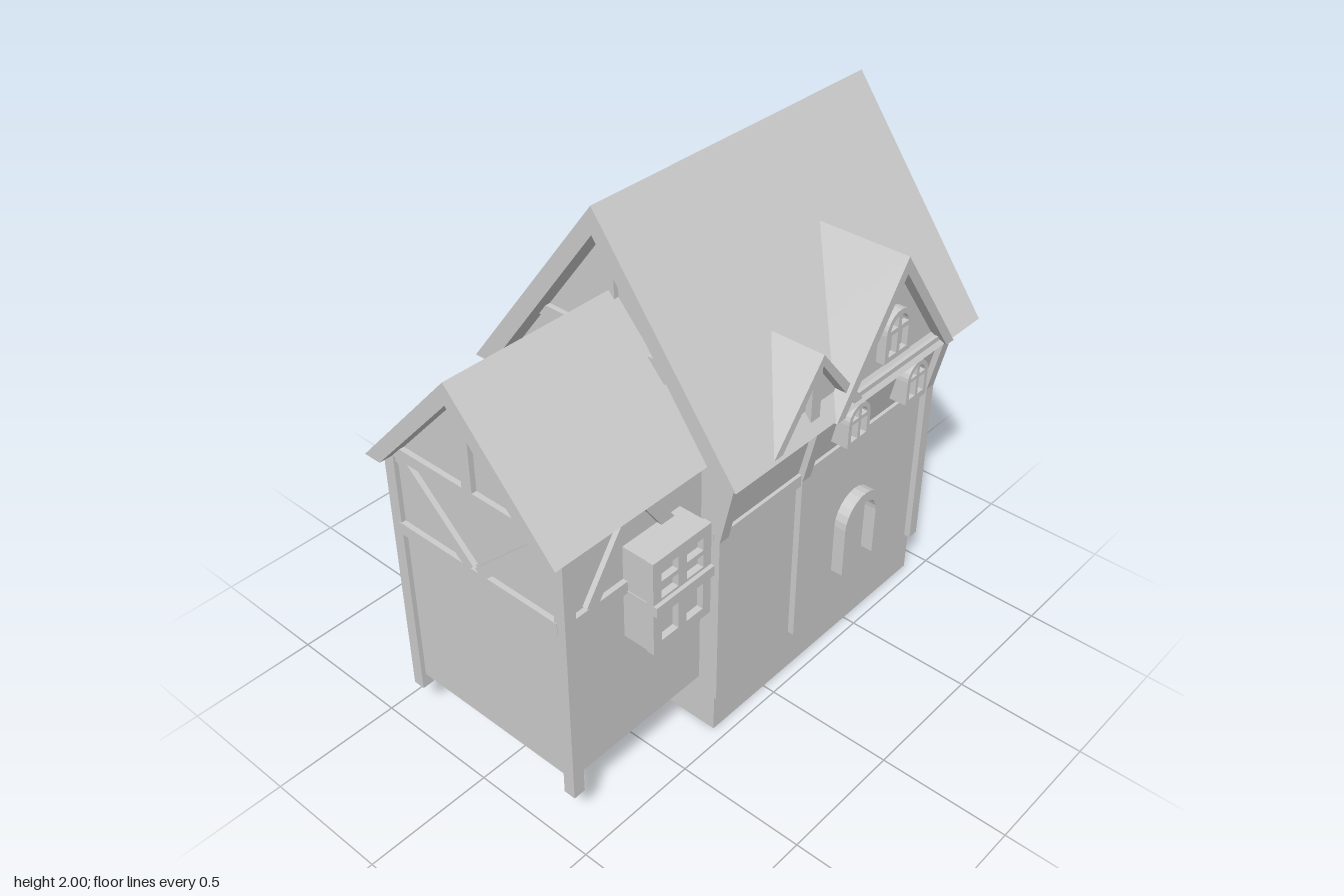
import * as THREE from 'three';

const mat = new THREE.MeshStandardMaterial({ color: 0xcccccc, flatShading: true });

function add(parent, name, geo) {
  const m = new THREE.Mesh(geo, mat);
  m.name = name;
  parent.add(m);
  return m;
}
const poly = pts => new THREE.Shape(pts.map(p => new THREE.Vector2(p[0], p[1])));
const extrude = (shape, depth) =>
  new THREE.ExtrudeGeometry(shape, { depth, bevelEnabled: false, curveSegments: 6 });

// Box from its limits
function box(parent, name, x0, x1, y0, y1, z0, z1) {
  const g = new THREE.BoxGeometry(x1 - x0, y1 - y0, z1 - z0);
  return add(parent, name, g.translate((x0 + x1) / 2, (y0 + y1) / 2, (z0 + z1) / 2));
}
// Profile of [z, y] points swept along x
function sweepX(parent, name, pts, x0, x1) {
  const g = extrude(poly(pts.map(([z, y]) => [-z, y])), x1 - x0);
  return add(parent, name, g.rotateY(Math.PI / 2).translate(x0, 0, 0));
}
// Profile of [x, y] points swept along z
function sweepZ(parent, name, pts, z0, z1) {
  return add(parent, name, extrude(poly(pts), z1 - z0).translate(0, 0, z0));
}
// Timber lying on a wall's local xy plane, between two points
function timber(parent, name, x0, y0, x1, y1, w, d = 0.02) {
  const g = new THREE.BoxGeometry(Math.hypot(x1 - x0, y1 - y0), w, d);
  g.rotateZ(Math.atan2(y1 - y0, x1 - x0));
  return add(parent, name, g.translate((x0 + x1) / 2, (y0 + y1) / 2, d / 2));
}
// Empty group standing on a wall
function wallFace(parent, name, x, z, rotY) {
  const g = new THREE.Group();
  g.name = name;
  g.position.set(x, 0, z);
  g.rotation.y = rotY;
  parent.add(g);
  return g;
}
// Chevron section of a pitched roof: outer and inner half widths and apex heights
const chevron = (cx, base, w, top, wIn, topIn) => [
  [cx - w, base], [cx, top], [cx + w, base], [cx + wIn, base], [cx, topIn], [cx - wIn, base]];

// Arched window with four panes, standing on local y = 0
function archedWindow(parent, x, y, z, w, h, depth) {
  const s = w / 2, frame = w * 0.14, bar = w * 0.06, spring = h - s, r = s - frame;
  const shape = poly([[-s, 0], [s, 0], [s, spring]]);
  shape.absarc(0, spring, s, 0, Math.PI, false);
  for (const k of [-1, 1]) {
    shape.holes.push(poly([[k * bar, frame], [k * r, frame], [k * r, spring - bar], [k * bar, spring - bar]]));
    const upper = [[k * bar, spring + bar]];
    for (let i = 0; i <= 5; i++) {
      const a = 0.12 + (i / 5) * 1.3;
      upper.push([k * Math.max(bar, r * Math.cos(a)), spring + Math.max(bar, r * Math.sin(a))]);
    }
    shape.holes.push(poly(upper));
  }
  const g = new THREE.Group();
  g.name = 'archedWindow';
  g.position.set(x, y, z);
  add(g, 'windowFrame', extrude(shape, depth));
  const back = poly([[-s * 0.95, 0.005], [s * 0.95, 0.005], [s * 0.95, spring]]);
  back.absarc(0, spring, s * 0.95, 0, Math.PI, false);
  add(g, 'windowPane', extrude(back, depth * 0.45));
  parent.add(g);
}

function mainHouse(root) {
  const g = wallFace(root, 'mainHouse', 0, 0, 0);
  sweepX(g, 'mainWalls', [[-0.45, 0], [0.45, 0], [0.45, 0.9], [0.52, 1.21], [0, 1.93], [-0.52, 1.21], [-0.45, 0.9]], -0.287, 0.915);
  sweepX(g, 'mainRoof', chevron(0, 1.21, 0.593, 2, 0.51, 1.9), -0.375, 1);

  // Posts that bend outward with the jettied upper floor
  const post = (x, s, low) => sweepX(g, 'bentPost', (low
    ? [[0.43, 0.18], [0.475, 0.18], [0.475, 0.9], [0.543, 1.21], [0.495, 1.21], [0.43, 0.9]]
    : [[0.43, 0.9], [0.475, 0.9], [0.543, 1.21], [0.495, 1.21]]).map(([z, y]) => [z * s, y]), x, x + 0.046);
  for (const s of [1, -1]) {
    post(-0.306, s, true);
    post(0.89, s, true);
    box(g, 'floorBeam', -0.29, 0.92, 0.88, 0.928, s > 0 ? 0.44 : -0.47, s > 0 ? 0.47 : -0.44);
  }
  post(0.135, 1, true);
  post(0.45, -1, false);

  // Timber framing of both gable ends
  for (const s of [1, -1]) {
    const f = wallFace(g, 'gableFraming', s > 0 ? 0.915 : -0.287, 0, s * Math.PI / 2);
    timber(f, 'floorBeam', -0.45, 0.904, 0.45, 0.904, 0.048);
    timber(f, 'tieBeam', -0.51, 1.229, 0.51, 1.229, 0.044);
    timber(f, 'collarBeam', -0.33, 1.478, 0.33, 1.478, 0.045);
    timber(f, 'kingPost', 0, 1.5, 0, 1.91, 0.046);
    for (const k of [1, -1]) timber(f, 'brace', k * 0.005, 1.255, k * 0.245, 1.46, 0.046);
  }

  // Door surround
  const arch = poly([[0.078, 0.32], [0.112, 0.32], [0.112, 0.53]]);
  arch.absarc(0, 0.535, 0.112, 0, Math.PI, false);
  arch.lineTo(-0.112, 0.32);
  arch.lineTo(-0.078, 0.32);
  arch.lineTo(-0.078, 0.53);
  arch.absarc(0, 0.525, 0.08, Math.PI, 0, true);
  add(g, 'doorArch', extrude(arch, 0.055)).position.set(0.5, 0, 0.445);

  for (const x of [0.36, 0.71]) archedWindow(g, x, 0.983, 0.465, 0.125, 0.16, 0.075);
}

// Gabled dormer running back into the main roof
function dormer(root, cx, w, top, wIn, topIn, front, back) {
  const g = wallFace(root, 'dormer', 0, 0, 0);
  const wall = front - 0.045;
  sweepZ(g, 'dormerRoof', chevron(cx, 1.205, w, top, wIn, topIn), back, front);
  sweepZ(g, 'dormerGable', [[cx - wIn - 0.01, 1.205], [cx + wIn + 0.01, 1.205], [cx, topIn + 0.015]], back, wall);
  box(g, 'dormerBeam', cx - wIn, cx + wIn, 1.205, 1.247, wall - 0.01, wall + 0.025);
  return wall;
}

function wing(root) {
  const g = wallFace(root, 'sideWing', 0, 0, 0);
  sweepX(g, 'wingWalls', [[-0.378, 0.218], [0.378, 0.218], [0.378, 1.21], [0, 1.62], [-0.378, 1.21]], -0.93, -0.28);
  sweepX(g, 'wingRoof', chevron(0, 1.205, 0.432, 1.677, 0.36, 1.595), -1, -0.28);
  for (const s of [1, -1]) {
    box(g, 'wingPost', -0.948, -0.9, 0.16, 1.22, s > 0 ? 0.358 : -0.405, s > 0 ? 0.405 : -0.358);
    const f = wallFace(g, 'wingFraming', -0.6, s * 0.378, s > 0 ? 0 : Math.PI);
    timber(f, 'floorBeam', -0.31, 0.904, 0.31, 0.904, 0.048);
    for (const k of [1, -1]) timber(f, 'brace', k * 0.225, 0.92, k * 0.025, 1.21, 0.05);
  }
  const e = wallFace(g, 'wingGableFraming', -0.93, 0, -Math.PI / 2);
  timber(e, 'floorBeam', -0.37, 0.904, 0.37, 0.904, 0.048);
  timber(e, 'tieBeam', -0.37, 1.229, 0.37, 1.229, 0.045);
  timber(e, 'kingPost', 0, 1.23, 0, 1.6, 0.046);
  for (const k of [1, -1]) timber(e, 'brace', k * 0.02, 0.925, k * 0.33, 1.215, 0.046);
}

function bayWindow(root) {
  const g = wallFace(root, 'bayWindow', -0.528, 0, 0);
  box(g, 'bayBody', -0.135, 0.135, 0.682, 1.06, 0.36, 0.485);
  const front = poly([[-0.138, 0.68], [0.138, 0.68], [0.138, 1.062], [-0.138, 1.062]]);
  for (const k of [1, -1]) {
    for (const [a, b] of [[0.72, 0.86], [0.9, 0.952], [0.97, 1.022]]) {
      front.holes.push(poly([[k * 0.02, a], [k * 0.1, a], [k * 0.1, b], [k * 0.02, b]]));
    }
  }
  add(g, 'bayFrame', extrude(front, 0.03)).position.z = 0.48;
  box(g, 'bayRail', -0.138, 0.138, 0.85, 0.89, 0.4, 0.525);
  // Tapered bracket: four-sided pyramid pointing down at the wall
  const cone = new THREE.ConeGeometry(Math.SQRT1_2, 1, 4, 1);
  cone.rotateY(Math.PI / 4).rotateX(Math.PI).scale(0.25, 0.066, 0.25).translate(0, 0.649, 0.375);
  add(g, 'bayBracket', cone);
}

export function createModel() {
  const root = new THREE.Group();
  root.name = 'timberFramedHouse';
  mainHouse(root);
  const smallWall = dormer(root, 0.06, 0.25, 1.508, 0.205, 1.465, 0.585, 0.36);
  box(root, 'smallDormerPost', 0.036, 0.084, 1.24, 1.45, smallWall - 0.01, smallWall + 0.025);
  const bigWall = dormer(root, 0.48, 0.345, 1.69, 0.3, 1.625, 0.6, 0.23);
  archedWindow(root, 0.477, 1.3, bigWall - 0.005, 0.148, 0.187, 0.04);
  wing(root);
  bayWindow(root);
  return root;
}
